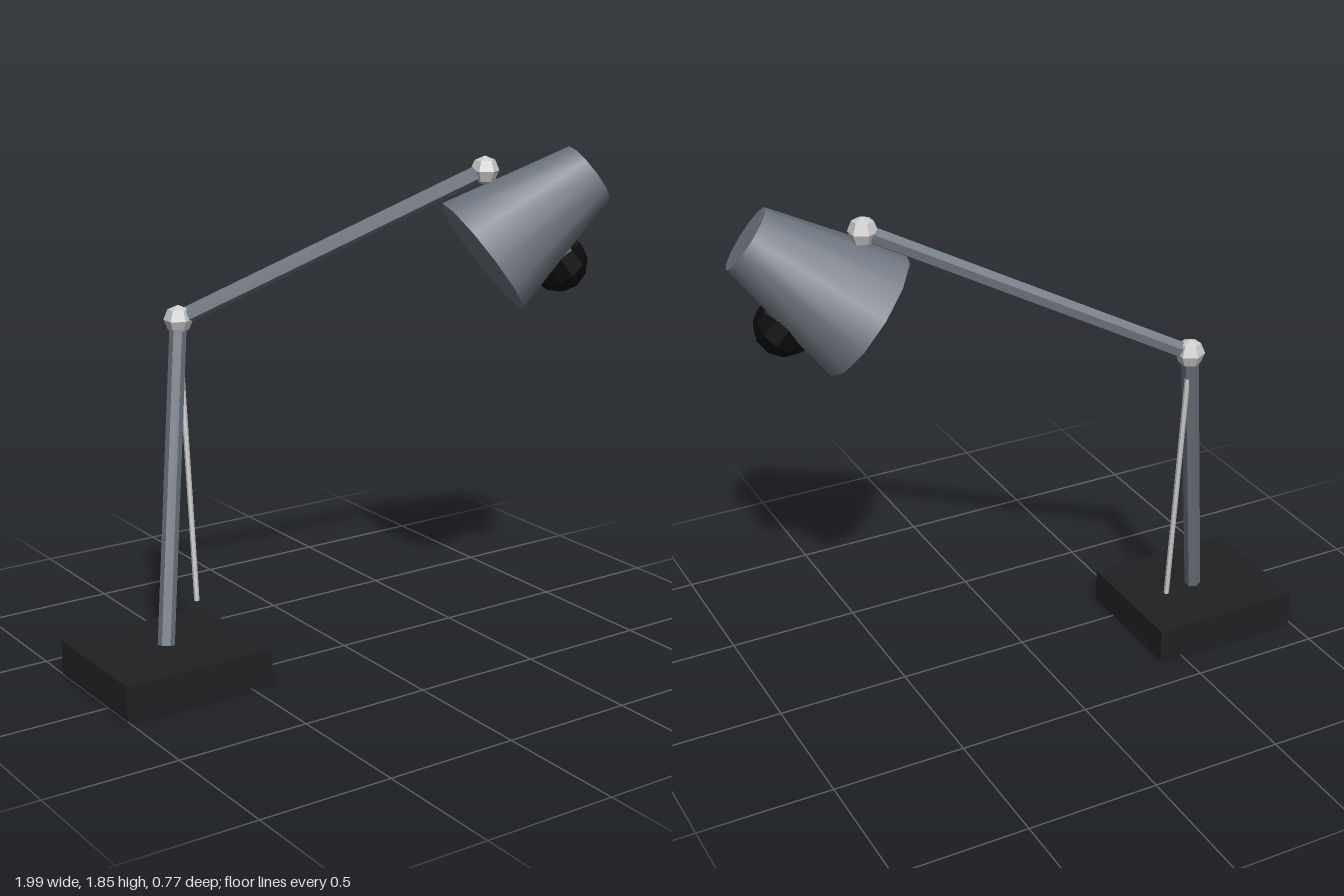
import * as THREE from 'three';

const UP = new THREE.Vector3(0, 1, 0);
const v = (x, y, z) => new THREE.Vector3(x, y, z);

function mat(color, flatShading = true) {
  return new THREE.MeshStandardMaterial({ color, flatShading });
}

function add(parent, name, geometry, material, position) {
  const mesh = new THREE.Mesh(geometry, material);
  mesh.name = name;
  mesh.position.copy(position);
  parent.add(mesh);
  return mesh;
}

// Straight tapered bar from point a (radius ra) to point b (radius rb)
function bar(parent, name, a, b, ra, rb, sides, material) {
  const dir = b.clone().sub(a);
  const geometry = new THREE.CylinderGeometry(rb, ra, dir.length(), sides);
  const mesh = add(parent, name, geometry, material, a.clone().add(b).multiplyScalar(0.5));
  mesh.quaternion.setFromUnitVectors(UP, dir.normalize());
  return mesh;
}

export function createModel() {
  const lamp = new THREE.Group();
  lamp.name = 'deskLamp';

  const black = mat(0x202124);
  const steel = mat(0x6f7680);
  const steelSmooth = mat(0x6f7680, false);
  const pale = mat(0xcccccc);

  // Pivots
  const foot = v(-0.705, 0.13, -0.11);
  const elbow = v(-0.5, 1.27, -0.33);
  const head = v(0.555, 1.775, 0.1);

  // Base block
  add(lamp, 'base', new THREE.BoxGeometry(0.59, 0.13, 0.5), black, v(-0.705, 0.065, -0.11));

  // Arms
  bar(lamp, 'lowerArm', foot, elbow, 0.031, 0.031, 6, steel);
  bar(lamp, 'upperArm', elbow, head, 0.031, 0.031, 6, steel);

  // Thin strut hanging from the elbow
  bar(lamp, 'strut', v(-0.5, 0.215, -0.24), elbow, 0.01, 0.01, 6, pale);

  // Faceted ball joints
  for (const [name, p] of [['elbowJoint', elbow], ['headJoint', head]]) {
    add(lamp, name, new THREE.SphereGeometry(0.054, 6, 4).rotateY(Math.PI / 2), pale, p);
  }

  // Tapered shade, wide end facing down
  const shade = bar(lamp, 'shade', v(0.54, 1.457, 0.115), v(0.913, 1.755, 0.268), 0.25, 0.125, 12, steelSmooth);

  // Bulb poking through the side of the shade
  const bulb = add(lamp, 'bulb', new THREE.SphereGeometry(0.11, 8, 6), mat(0x0a0a0a), v(0.807, 1.425, 0.233));
  bulb.quaternion.copy(shade.quaternion);

  return lamp;
}
